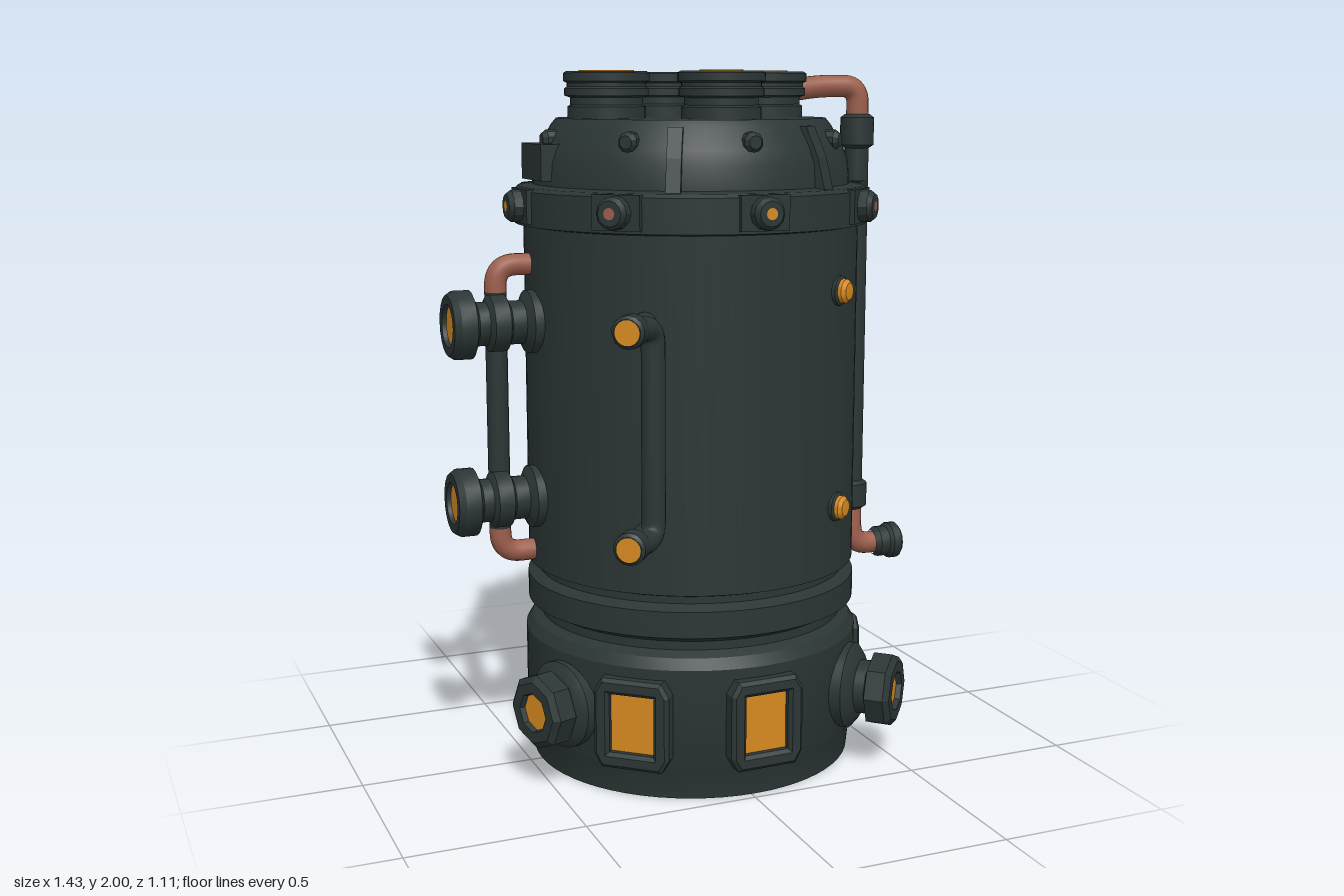
import * as THREE from 'three';
import { toCreasedNormals } from 'three/addons/utils/BufferGeometryUtils.js';

const paint = (name, color) => {
  const m = new THREE.MeshStandardMaterial({ color });
  m.name = name;
  return m;
};

export function createModel() {
  const dark = paint('dark iron', 0x2b3535);
  const glow = paint('amber glass', 0xd68a20);
  const copper = paint('copper', 0x9c5e4c);
  const model = new THREE.Group();
  model.name = 'boilerTank';

  const add = (parent, name, geo, mat, x = 0, y = 0, z = 0) => {
    const m = new THREE.Mesh(geo, mat);
    m.name = name;
    m.position.set(x, y, z);
    parent.add(m);
    return m;
  };
  // Turned part from [radius, height] pairs, listed bottom to top
  const lathe = (pts, seg = 24) => toCreasedNormals(
    new THREE.LatheGeometry(pts.map(p => new THREE.Vector2(...p)), seg), 0.5);
  // Turned part whose axis points along local +z
  const outward = (pts, seg) => lathe(pts, seg).rotateX(Math.PI / 2);
  // Group on the tank axis whose local +z points outward at the given angle
  const radial = (name, degrees, y) => {
    const g = new THREE.Group();
    g.name = name;
    g.position.set(0.01, y, 0);
    g.rotation.y = THREE.MathUtils.degToRad(degrees);
    model.add(g);
    return g;
  };
  // Pipe with straight runs and rounded corners
  const pipe = (name, pts, r, mat, bend = 0.06) => {
    const v = pts.map(p => new THREE.Vector3(...p));
    const path = new THREE.CurvePath();
    let from = v[0];
    for (let i = 1; i < v.length - 1; i++) {
      const a = v[i].clone().add(v[i - 1].clone().sub(v[i]).setLength(bend));
      const b = v[i].clone().add(v[i + 1].clone().sub(v[i]).setLength(bend));
      path.add(new THREE.LineCurve3(from, a));
      path.add(new THREE.QuadraticBezierCurve3(a, v[i], b));
      from = b;
    }
    path.add(new THREE.LineCurve3(from, v[v.length - 1]));
    return add(model, name, new THREE.TubeGeometry(path, 60, r, 14), mat);
  };

  // Tank: base, grooves, ring, barrel, top band and dome
  add(model, 'tankBody', lathe([
    [0, 0], [0.475, 0], [0.483, 0.08], [0.493, 0.1], [0.493, 0.38], [0.475, 0.41],
    [0.447, 0.425], [0.447, 0.45], [0.485, 0.47], [0.485, 0.545], [0.453, 0.56],
    [0.453, 0.58], [0.482, 0.59], [0.482, 1.57], [0.507, 1.575], [0.507, 1.67],
    [0.495, 1.68], [0.455, 1.685], [0.45, 1.75], [0.435, 1.79], [0.4, 1.85],
    [0.385, 1.868], [0, 1.868],
  ], 64), dark, 0.01);

  // Four capped ports on the roof, the rear one blank
  const capProfile = [
    [0.11, 1.86], [0.11, 1.9], [0.102, 1.905], [0.102, 1.925], [0.118, 1.93],
    [0.118, 1.95], [0.111, 1.955], [0.111, 1.965], [0.121, 1.97], [0.121, 1.992],
    [0.113, 1.997], [0, 1.997],
  ];
  for (const [x, z, r] of [[-0.245, 0, 0.078], [0.245, -0.005, 0.066], [0.01, 0.22, 0.06], [0.01, -0.225, 0]]) {
    add(model, 'roofPort', lathe(capProfile, 32), dark, x, 0, z);
    if (r) add(model, 'roofPortGlass', new THREE.CylinderGeometry(r, r, 0.006, 28), glow, x, 1.997, z);
  }

  // Bolts around the band, and smaller ones on the dome
  for (let i = 0; i < 8; i++) {
    const g = radial('bandBolt', i * 45, 1.63);
    add(g, 'boltPad', new THREE.BoxGeometry(0.14, 0.095, 0.03), dark, 0, 0, 0.5);
    add(g, 'boltHead', outward([[0.047, 0.49], [0.044, 0.54], [0.034, 0.553], [0, 0.553]], 12), dark);
    add(g, 'boltCenter', new THREE.CircleGeometry(0.016, 12), i % 2 ? copper : glow, 0, 0, 0.555);
    const d = radial('domeBolt', i * 45, 1.81);
    add(d, 'domeBoltHead', outward([[0.028, 0.38], [0.028, 0.435], [0.018, 0.448], [0, 0.448]], 10), dark);
  }

  // Triangular gussets between dome and band
  const gusset = new THREE.Shape();
  gusset.moveTo(0.37, 1.68);
  gusset.lineTo(0.485, 1.68);
  gusset.lineTo(0.46, 1.77);
  gusset.lineTo(0.42, 1.85);
  gusset.lineTo(0.37, 1.85);
  const gussetGeo = new THREE.ExtrudeGeometry(gusset, { depth: 0.04, bevelEnabled: false })
    .translate(0, 0, -0.02).rotateY(-Math.PI / 2);
  for (const a of [28, -28, 152, -152]) add(radial('gusset', a, 0), 'gussetPlate', gussetGeo, dark);
  add(model, 'domeBlock', new THREE.BoxGeometry(0.07, 0.1, 0.18), dark, -0.43, 1.75, -0.01);

  // Amber studs on the barrel
  for (const a of [36, 150, -148]) for (const y of [1.4, 0.785]) {
    const g = radial('barrelStud', a, y);
    add(g, 'studCollar', outward([[0.042, 0.47], [0.042, 0.49], [0.034, 0.495]], 14), dark);
    add(g, 'studLamp', outward([[0.035, 0.48], [0.034, 0.505], [0.024, 0.515], [0, 0.517]], 14), glow);
  }

  // Framed square windows around the base
  const frame = new THREE.Shape();
  frame.moveTo(-0.105, -0.09);
  for (const [x, y] of [[-0.085, -0.125], [0.085, -0.125], [0.105, -0.09], [0.105, 0.09],
    [0.085, 0.125], [-0.085, 0.125], [-0.105, 0.09]]) frame.lineTo(x, y);
  const hole = new THREE.Path();
  hole.moveTo(-0.07, -0.09);
  for (const [x, y] of [[-0.07, 0.09], [0.07, 0.09], [0.07, -0.09]]) hole.lineTo(x, y);
  frame.holes.push(hole);
  const frameGeo = new THREE.ExtrudeGeometry(frame,
    { depth: 0.055, bevelThickness: 0.01, bevelSize: 0.01, bevelOffset: -0.005, bevelSegments: 1 });
  for (const a of [2, -41, 90, 180, -142]) {
    const g = radial('baseWindow', a, 0.22);
    add(g, 'windowFrame', frameGeo, dark, 0, 0, 0.46);
    add(g, 'windowPane', new THREE.BoxGeometry(0.145, 0.185, 0.008), glow, 0, 0, 0.496);
  }

  // Hexagonal nozzles around the base
  for (const [a, r] of [[46, 0.645], [115, 0.635], [-69, 0.61]]) {
    const g = radial('baseNozzle', a, 0.23);
    add(g, 'nozzleFlange', outward([[0.125, 0.46], [0.125, 0.51], [0.1, 0.53], [0.078, 0.535], [0.078, r - 0.07]], 24), dark);
    add(g, 'nozzleNut', outward([[0.078, r - 0.08], [0.108, r - 0.07], [0.108, r - 0.015], [0.09, r], [0.058, r], [0.053, r - 0.02], [0, r - 0.02]], 8), dark);
    add(g, 'nozzleGlass', new THREE.CircleGeometry(0.054, 20), glow, 0, 0, r - 0.016);
  }

  // Two side valves joined by a copper-ended pipe
  for (const y of [1.305, 0.8]) {
    const g = radial('sideValve', -90, y);
    add(g, 'valveBody', outward([
      [0.09, 0.46], [0.09, 0.5], [0.062, 0.515], [0.062, 0.555], [0.08, 0.565],
      [0.08, 0.61], [0.062, 0.62], [0.062, 0.65], [0.097, 0.665], [0.097, 0.71],
      [0.085, 0.728], [0.06, 0.728], [0.056, 0.712], [0, 0.712],
    ], 20), dark);
    add(g, 'valveGlass', new THREE.CircleGeometry(0.057, 20), glow, 0, 0, 0.716);
  }
  pipe('sidePipe', [[-0.57, 1.39, -0.03], [-0.57, 0.71, -0.03]], 0.031, dark);
  for (const [y, s] of [[1.39, 1], [0.71, -1]])
    pipe('sidePipeElbow', [[-0.57, y, -0.03], [-0.57, y + s * 0.075, -0.03], [-0.45, y + s * 0.075, -0.03]], 0.031, copper);

  // Front bracket pipe with outward nozzles
  pipe('bracketPipe', [[-0.36, 1.335, 0.5], [-0.275, 1.335, 0.43], [-0.275, 0.76, 0.43], [-0.36, 0.76, 0.5]], 0.033, dark, 0.05);
  for (const y of [1.335, 0.76]) {
    const g = radial('bracketNozzle', -37, y);
    add(g, 'bracketCollar', outward([[0.034, 0.47], [0.034, 0.585], [0.045, 0.595], [0.045, 0.64], [0.036, 0.648], [0, 0.648]], 14), dark);
    add(g, 'bracketGlass', new THREE.CircleGeometry(0.034, 14), glow, 0, 0, 0.651);
  }

  // Tall drain pipe from the roof port down the side
  pipe('drainTop', [[0.34, 1.945, -0.02], [0.43, 1.957, -0.02], [0.548, 1.957, 0], [0.548, 1.86, 0]], 0.033, copper, 0.05);
  pipe('drainPipe', [[0.548, 1.87, 0], [0.548, 0.68, 0]], 0.036, dark);
  pipe('drainElbow', [[0.548, 0.68, 0], [0.548, 0.553, 0.01], [0.65, 0.553, 0.01]], 0.034, copper);
  const sleeve = (h) => lathe([[0.036, -h / 2 - 0.01], [0.05, -h / 2], [0.05, h / 2], [0.036, h / 2 + 0.01]], 18);
  add(model, 'drainSleeve', sleeve(0.08), dark, 0.548, 1.825);
  add(model, 'drainSleeve', sleeve(0.07), dark, 0.548, 0.715);
  add(model, 'drainBracket', new THREE.BoxGeometry(0.08, 0.1, 0.11), dark, 0.51, 1.63);
  add(model, 'drainBracket', new THREE.BoxGeometry(0.1, 0.05, 0.05), dark, 0.5, 0.715);
  const spout = radial('drainSpout', 90, 0.553);
  add(spout, 'spoutCollar', outward([[0.036, 0.61], [0.047, 0.625], [0.047, 0.655], [0.056, 0.665], [0.056, 0.69], [0.048, 0.697], [0, 0.697]], 16), dark, -0.01);
  add(spout, 'spoutGlass', new THREE.CircleGeometry(0.034, 16), glow, -0.01, 0, 0.7);

  return model;
}
